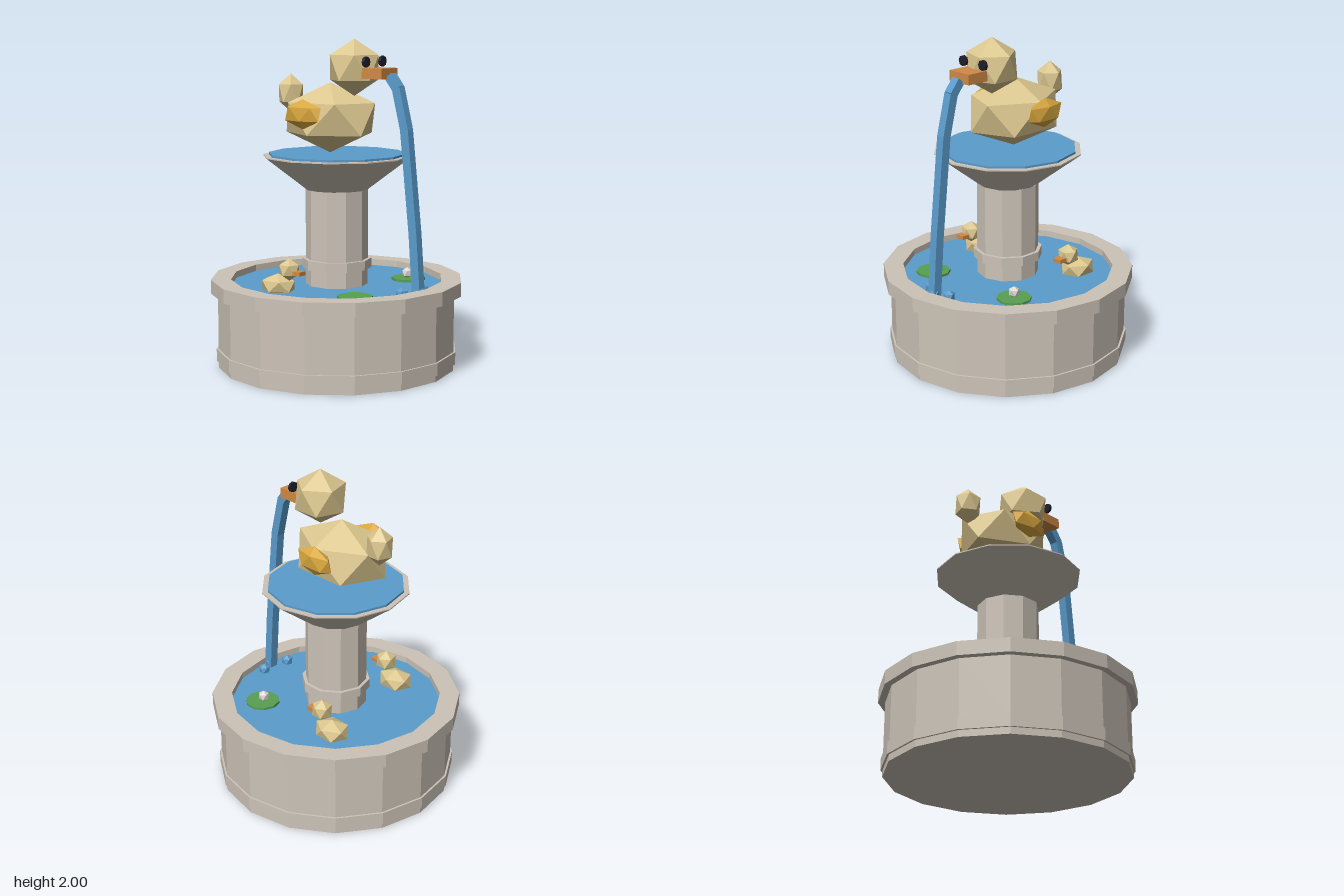
import * as THREE from 'three';

const mat = (name, color) => {
  const m = new THREE.MeshStandardMaterial({ color, flatShading: true });
  m.name = name;
  return m;
};

export function createModel() {
  const stone = mat('stone', 0xcdc4b8);
  const water = mat('water', 0x5b9ccc);
  const down = mat('down', 0xdcc78f);
  const gold = mat('gold', 0xdba93f);
  const orange = mat('orange', 0xd08a45);
  const black = mat('black', 0x1f1f2a);
  const leaf = mat('leaf', 0x58a050);
  const petal = mat('petal', 0xe0d8d4);

  const model = new THREE.Group();
  model.name = 'duckFountain';

  const add = (parent, name, geometry, material, x = 0, y = 0, z = 0) => {
    const mesh = new THREE.Mesh(geometry, material);
    mesh.name = name;
    mesh.position.set(x, y, z);
    parent.add(mesh);
    return mesh;
  };

  // Icosahedron standing on one vertex, stretched to three radii
  const blob = (rx, ry = rx, rz = rx) =>
    new THREE.IcosahedronGeometry(1, 0)
      .rotateZ(-Math.atan(2 / (1 + Math.sqrt(5))))
      .scale(rx, ry, rz);

  const lathe = (points, sides) =>
    new THREE.LatheGeometry(points.map(([r, y]) => new THREE.Vector2(r, y)), sides);

  const disc = (r, h, sides) => new THREE.CylinderGeometry(r, r, h, sides);

  // Lower basin with foot band, overhanging rim and inner wall
  add(model, 'basin', lathe([
    [0, 0], [0.73, 0], [0.73, 0.04], [0.742, 0.04], [0.742, 0.115], [0.73, 0.115],
    [0.73, 0.46], [0.772, 0.46], [0.772, 0.545], [0.65, 0.545], [0.65, 0.45], [0, 0.45],
  ], 16), stone);
  add(model, 'basinWater', disc(0.65, 0.05, 16), water, 0, 0.48, 0);

  // Pedestal and upper bowl
  add(model, 'column', disc(0.19, 0.62, 10), stone, 0, 0.78, 0);
  add(model, 'columnCollar', disc(0.212, 0.057, 10), stone, 0, 0.636, 0);
  add(model, 'bowl', lathe([[0, 1.09], [0.19, 1.09], [0.452, 1.29], [0.452, 1.297], [0, 1.297]], 12), stone);
  add(model, 'bowlWater', disc(0.418, 0.02, 12), water, 0, 1.3, 0);

  // Large duck
  const duck = new THREE.Group();
  duck.name = 'duck';
  model.add(duck);
  add(duck, 'body', blob(0.26, 0.2125, 0.333), down, 0, 1.522, -0.05);
  add(duck, 'head', blob(0.17), down, 0, 1.83, 0.13);
  add(duck, 'tail', blob(0.085, 0.12, 0.088), down, 0, 1.66, -0.355);
  add(duck, 'beak', new THREE.BoxGeometry(0.164, 0.062, 0.145), orange, 0, 1.8, 0.315);
  for (const side of [-1, 1]) {
    add(duck, 'wing', blob(0.045, 0.09, 0.147), gold, side * 0.243, 1.555, -0.07);
    add(duck, 'eye', disc(0.032, 0.018, 8).rotateX(Math.PI / 2), black, side * 0.083, 1.868, 0.277);
  }

  // Water jet: square sections following the falling arc, as [z, y]
  const arc = [[0.395, 1.785], [0.45, 1.715], [0.51, 1.475], [0.575, 0.87], [0.603, 0.5]];
  const jet = new THREE.Group();
  jet.name = 'waterJet';
  model.add(jet);
  for (let i = 0; i < arc.length - 1; i++) {
    const [z0, y0] = arc[i], [z1, y1] = arc[i + 1];
    const part = add(jet, 'jetSection', new THREE.BoxGeometry(0.055, Math.hypot(z1 - z0, y1 - y0) + 0.008, 0.055),
      water, 0, (y0 + y1) / 2, (z0 + z1) / 2);
    part.rotation.x = Math.atan2(z0 - z1, y0 - y1);
  }
  for (const [x, z] of [[-0.095, 0.55], [0, 0.605], [0.09, 0.567]]) {
    add(model, 'splash', blob(0.038), water, x, 0.525, z);
  }

  // Ducklings on the water
  for (const [x, z] of [[0.32, -0.29], [-0.395, -0.14]]) {
    const duckling = new THREE.Group();
    duckling.name = 'duckling';
    duckling.position.set(x, 0, z);
    model.add(duckling);
    add(duckling, 'ducklingBody', blob(0.1, 0.07, 0.122), down, 0, 0.54, 0);
    add(duckling, 'ducklingHead', blob(0.068), down, 0, 0.643, 0.085);
    add(duckling, 'ducklingBeak', new THREE.BoxGeometry(0.06, 0.024, 0.06), orange, 0, 0.628, 0.155);
  }

  // Lily pads and flower
  add(model, 'lilyPad', disc(0.105, 0.015, 10), leaf, -0.295, 0.513, 0.355);
  add(model, 'lilyPad', disc(0.105, 0.015, 10), leaf, 0.355, 0.513, 0.29);
  add(model, 'flower', blob(0.036), petal, 0.35, 0.548, 0.285);

  return model;
}
